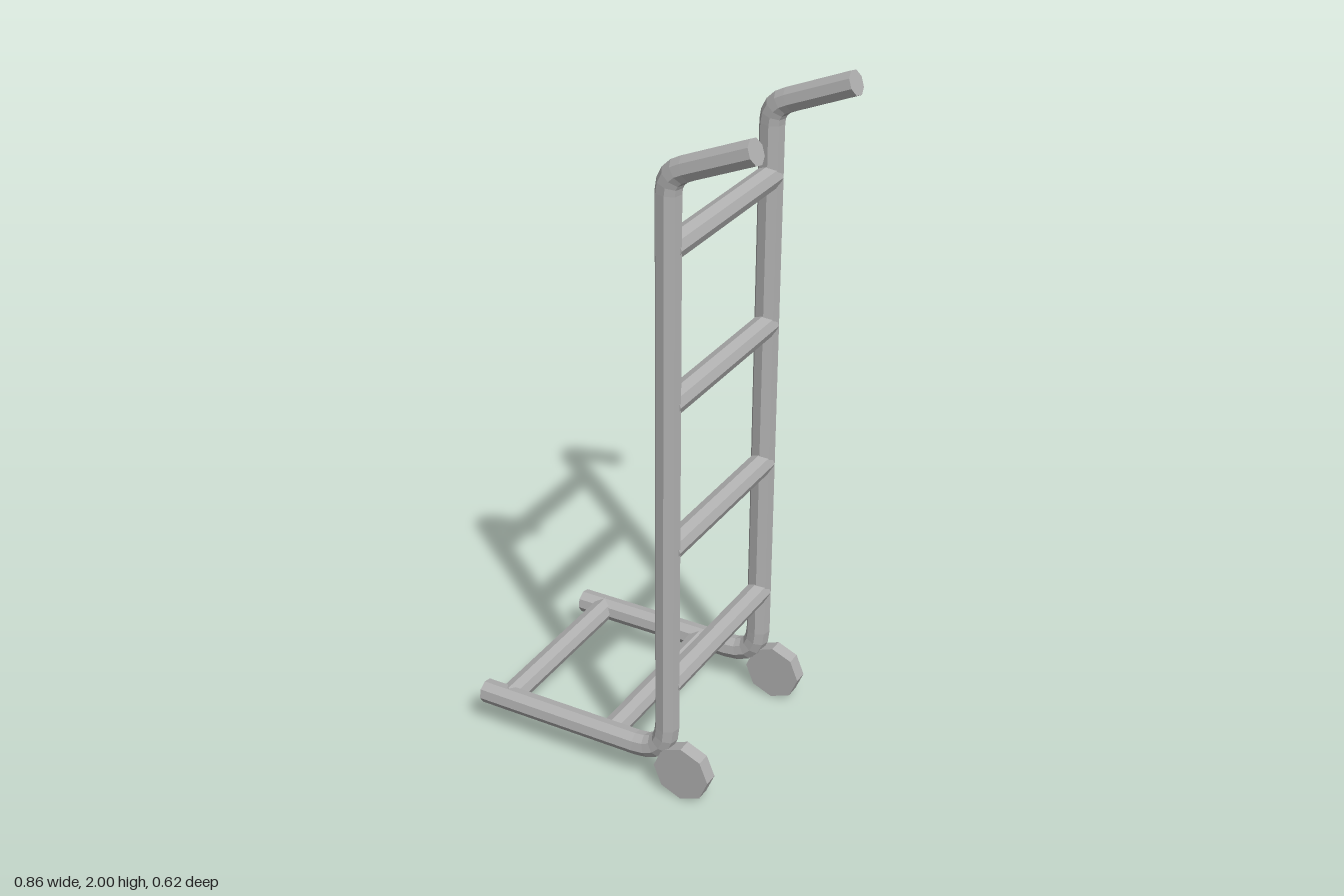
import * as THREE from 'three';

const R = 0.035, SIDES = 8, RAIL_Z = 0.273;

// Octagonal pipe swept along a path in the xy plane, with closed ends
function pipe(path, r, phase) {
  const pos = [], idx = [], n = path.length;
  path.forEach((p, i) => {
    const a = p.clone().sub(path[Math.max(i - 1, 0)]).normalize();
    const b = path[Math.min(i + 1, n - 1)].clone().sub(p).normalize();
    const t = a.add(b).normalize();
    for (let k = 0; k < SIDES; k++) {
      const q = phase + (k / SIDES) * Math.PI * 2;
      const c = Math.cos(q) * r;
      pos.push(p.x - t.y * c, p.y + t.x * c, Math.sin(q) * r);
    }
  });
  for (let i = 0; i < n - 1; i++) {
    for (let k = 0; k < SIDES; k++) {
      const a = i * SIDES + k, b = i * SIDES + (k + 1) % SIDES;
      idx.push(a, a + SIDES, b, b, a + SIDES, b + SIDES);
    }
  }
  const last = (n - 1) * SIDES;
  for (let k = 1; k < SIDES - 1; k++) {
    idx.push(0, k, k + 1, last, last + k + 1, last + k);
  }
  // Reverse so that faces point outwards
  for (let i = 0; i < idx.length; i += 3) [idx[i + 1], idx[i + 2]] = [idx[i + 2], idx[i + 1]];
  const g = new THREE.BufferGeometry();
  g.setAttribute('position', new THREE.Float32BufferAttribute(pos, 3));
  g.setIndex(idx);
  const flat = g.toNonIndexed();
  flat.computeVertexNormals();
  return flat;
}

export function createModel() {
  const group = new THREE.Group();
  const steel = new THREE.MeshStandardMaterial({ color: 0xb0b0b0, flatShading: true });
  steel.name = 'grey steel';

  const add = (name, geometry, x, y, z) => {
    const m = new THREE.Mesh(geometry, steel);
    m.name = name;
    m.position.set(x, y, z);
    group.add(m);
    return m;
  };

  // Side rail: toe plate bar, lower bend, upright, upper bend, handle
  const v = (x, y) => new THREE.Vector2(x, y);
  const bend = (a, c, b, n) => new THREE.QuadraticBezierCurve(a, c, b).getPoints(n);
  const path = [
    v(-0.434, 0.115),
    ...bend(v(0.08, 0.123), v(0.178, 0.125), v(0.178, 0.22), 5),
    ...bend(v(0.178, 1.82), v(0.178, 1.872), v(0.23, 1.891), 4),
    v(0.413, 1.968),
  ];
  const railGeometry = pipe(path, R + 0.0005, 0.18);

  // Wheel: plain octagonal disc with a corner at the bottom
  const wheelGeometry = new THREE.CylinderGeometry(0.086, 0.086, 0.042, 8).rotateX(Math.PI / 2);

  for (const [side, s] of [['front', 1], ['back', -1]]) {
    add(side + 'Rail', railGeometry, 0, 0, s * RAIL_Z);
    add(side + 'Wheel', wheelGeometry, 0.235, 0.087, s * 0.278);
  }

  // Cross bars between the rails
  const barGeometry = new THREE.CylinderGeometry(R, R, RAIL_Z * 2, SIDES).rotateX(Math.PI / 2);
  [0.36, 0.797, 1.234, 1.67].forEach((y, i) => add('ladderRung' + (i + 1), barGeometry, 0.181, y, 0));
  [-0.356, -0.015].forEach((x, i) => add('toeBar' + (i + 1), barGeometry, x, 0.116, 0));

  return group;
}
